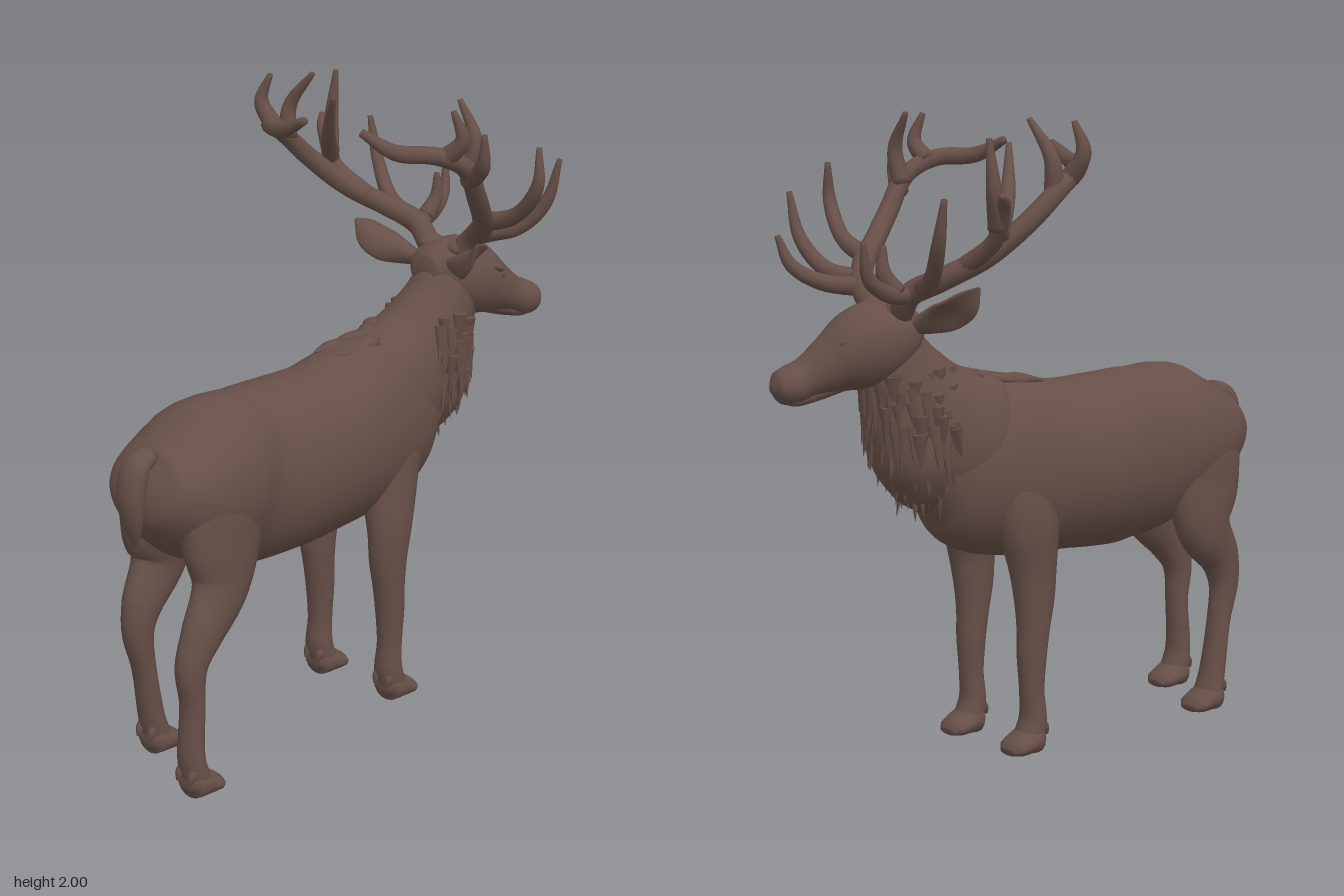
import * as THREE from 'three';

const hide = new THREE.MeshStandardMaterial({ color: 0x664f47 });
hide.name = 'brown hide';

// Smooth solid through elliptical sections [x, y, z, radiusInPlane, radiusAcross]
function loftGeometry(pts, steps = 6, sides = 24, cup = 0) {
  const path = new THREE.CatmullRomCurve3(pts.map(p => new THREE.Vector3(p[0], p[1], p[2])));
  const size = new THREE.CatmullRomCurve3(pts.map(p => new THREE.Vector3(p[3], p[4] ?? p[3], 0)), false, 'catmullrom', 0.5);
  const n = (pts.length - 1) * steps, pos = [], idx = [];
  for (let i = 0; i <= n; i++) {
    const c = path.getPoint(i / n), r = size.getPoint(i / n), T = path.getTangent(i / n);
    const S = new THREE.Vector3(0, 0, 1).addScaledVector(T, -T.z).normalize();
    const U = new THREE.Vector3().crossVectors(S, T);
    for (let j = 0; j < sides; j++) {
      const a = j / sides * Math.PI * 2, u = Math.cos(a), s = Math.sin(a);
      const p = c.clone().addScaledVector(U, u * Math.max(r.x, 0.002))
        .addScaledVector(S, s * Math.max(r.y, 0.002) + cup * r.x * u * u);
      pos.push(p.x, p.y, p.z);
    }
  }
  for (let i = 0; i < n; i++) for (let j = 0; j < sides; j++) {
    const a = i * sides + j, d = i * sides + (j + 1) % sides, b = a + sides, c = d + sides;
    idx.push(a, d, b, b, d, c);
  }
  const first = pos.length / 3, e = path.getPoint(1);
  pos.push(pts[0][0], pts[0][1], pts[0][2], e.x, e.y, e.z);
  for (let j = 0; j < sides; j++) {
    const k = (j + 1) % sides;
    idx.push(first, k, j, first + 1, n * sides + j, n * sides + k);
  }
  const g = new THREE.BufferGeometry();
  g.setAttribute('position', new THREE.Float32BufferAttribute(pos, 3));
  g.setIndex(idx);
  g.computeVertexNormals();
  return g;
}

function add(parent, name, geometry) {
  const m = new THREE.Mesh(geometry, hide);
  m.name = name;
  parent.add(m);
  return m;
}

// Tapered round branch
function branch(parent, name, pts, r0, r1) {
  const n = pts.length - 1;
  add(parent, name, loftGeometry(pts.map((p, i) => [...p, i === n ? r1 : r0 + (r1 * 1.8 - r0) * i / n]), 7, 10));
}

// Hoof with two dewclaws, heel at x
function hoof(parent, x, z) {
  add(parent, 'hoof', loftGeometry([
    [x - 0.012, 0.05, z, 0.02, 0.03], [x + 0.012, 0.051, z, 0.051, 0.056], [x + 0.06, 0.04, z, 0.04, 0.062],
    [x + 0.1, 0.027, z, 0.027, 0.058], [x + 0.122, 0.018, z, 0.012, 0.035]], 5, 16));
  for (const s of [-1, 1]) add(parent, 'dewclaw', loftGeometry([
    [x + 0.018, 0.12, z + s * 0.02, 0.014], [x - 0.008, 0.085, z + s * 0.025, 0.016],
    [x - 0.02, 0.06, z + s * 0.025, 0.005]], 4, 8));
}

export function createModel() {
  const stag = new THREE.Group();
  stag.name = 'stag';

  // Trunk, neck and head
  add(stag, 'body', loftGeometry([
    [-0.835, 0.98, 0, 0.04, 0.05], [-0.81, 0.97, 0, 0.11, 0.14], [-0.75, 0.95, 0, 0.165, 0.185],
    [-0.66, 0.93, 0, 0.225, 0.217], [-0.54, 0.918, 0, 0.258, 0.228], [-0.42, 0.892, 0, 0.28, 0.208],
    [-0.25, 0.882, 0, 0.28, 0.233], [-0.05, 0.885, 0, 0.275, 0.232], [0.12, 0.905, 0, 0.287, 0.218],
    [0.25, 0.925, 0, 0.275, 0.195], [0.36, 0.955, 0, 0.22, 0.16], [0.44, 0.965, 0, 0.15, 0.12],
    [0.5, 0.965, 0, 0.05, 0.05]], 6, 36));
  add(stag, 'neck', loftGeometry([
    [0.12, 0.95, 0, 0.2, 0.16], [0.29, 1.0, 0, 0.23, 0.175], [0.42, 1.1, 0.01, 0.19, 0.15],
    [0.5, 1.22, 0.03, 0.14, 0.125], [0.55, 1.33, 0.04, 0.1, 0.1]], 8, 32));
  add(stag, 'head', loftGeometry([
    [0.45, 1.365, 0.02, 0.04, 0.05], [0.5, 1.36, 0.022, 0.088, 0.1], [0.57, 1.335, 0.035, 0.126, 0.124],
    [0.65, 1.3, 0.06, 0.122, 0.118], [0.72, 1.265, 0.086, 0.09, 0.09], [0.79, 1.23, 0.11, 0.064, 0.068],
    [0.84, 1.21, 0.125, 0.06, 0.069], [0.88, 1.203, 0.135, 0.047, 0.055], [0.9, 1.2, 0.14, 0.012, 0.015]], 6, 28));
  add(stag, 'chin', loftGeometry([
    [0.68, 1.215, 0.078, 0.03, 0.045], [0.78, 1.18, 0.108, 0.025, 0.044],
    [0.84, 1.165, 0.122, 0.019, 0.038], [0.865, 1.166, 0.13, 0.006, 0.01]], 5, 14));
  for (const [x, z] of [[0.685, 0.158], [0.725, 0.002]]) {
    const eye = add(stag, 'eye', new THREE.SphereGeometry(0.016, 14, 10));
    eye.position.set(x, 1.328, z);
    const brow = add(stag, 'brow', new THREE.SphereGeometry(0.03, 14, 10));
    brow.scale.set(1.3, 0.45, 0.7);
    brow.position.set(x - 0.015, 1.35, z * 0.94 + 0.004);
    brow.rotation.z = -0.45;
  }

  // Cupped ears
  for (const [s, z] of [[1, 0.09], [-1, -0.05]]) {
    add(stag, 'ear', loftGeometry([
      [0.51, 1.38, z, 0.022, 0.03], [0.485, 1.4, z + s * 0.05, 0.042, 0.028], [0.46, 1.425, z + s * 0.1, 0.06, 0.02],
      [0.435, 1.46, z + s * 0.15, 0.052, 0.014], [0.405, 1.5, z + s * 0.182, 0.006, 0.004]], 6, 16, s * 0.35));
  }

  // Tail
  add(stag, 'tail', loftGeometry([
    [-0.78, 1.06, 0, 0.03, 0.035], [-0.84, 1.035, 0, 0.035, 0.048], [-0.865, 0.95, 0, 0.036, 0.05],
    [-0.86, 0.86, 0, 0.026, 0.036], [-0.85, 0.79, 0, 0.005, 0.008]], 6, 16));

  // Legs; the right hind leg stands a little further forward
  for (const s of [1, -1]) {
    const f = s < 0 ? 1 : 0, z = f ? -0.138 : 0.165;
    add(stag, 'frontLeg', loftGeometry([
      [0.18, 1.04, s * 0.09, 0.05, 0.03], [0.165, 0.9, s * 0.12, 0.13, 0.075], [0.14, 0.74, s * 0.142, 0.112, 0.075],
      [0.118, 0.6, z, 0.085, 0.062], [0.112, 0.5, z, 0.07, 0.056], [0.116, 0.4, z, 0.054, 0.051], [0.122, 0.32, z, 0.048, 0.048],
      [0.122, 0.2, z, 0.039, 0.042], [0.118, 0.11, z, 0.041, 0.05], [0.135, 0.05, z, 0.045, 0.055]], 6, 20));
    hoof(stag, 0.1, z);
    add(stag, 'hindLeg', loftGeometry([
      [-0.6, 1.08, s * 0.09, 0.06, 0.03], [-0.61, 0.92, s * 0.12, 0.15, 0.09], [-0.625 + f * 0.01, 0.78, s * 0.135, 0.15, 0.086],
      [-0.65 + f * 0.04, 0.64, s * 0.15, 0.107, 0.07], [-0.745 + f * 0.05, 0.52, z, 0.075, 0.056],
      [-0.793 + f * 0.075, 0.43, z, 0.054, 0.047], [-0.792 + f * 0.095, 0.3, z, 0.037, 0.042],
      [-0.8 + f * 0.13, 0.13, z, 0.038, 0.048], [-0.78 + f * 0.13, 0.05, z, 0.043, 0.055]], 6, 20));
    hoof(stag, -0.815 + f * 0.13, z);
  }
  add(stag, 'bellyRidge', loftGeometry([
    [-0.46, 0.66, 0, 0.02, 0.03], [-0.38, 0.625, 0, 0.025, 0.05], [-0.2, 0.622, 0, 0.025, 0.05], [0, 0.64, 0, 0.02, 0.03]], 6, 12));

  // Mane core with hanging tufts
  let seed = 7;
  const rnd = () => (seed = (seed * 16807) % 2147483647) / 2147483647;
  const mane = new THREE.Group();
  mane.name = 'mane';
  stag.add(mane);
  add(mane, 'maneCore', loftGeometry([
    [0.53, 1.2, 0.03, 0.1, 0.11], [0.49, 1.08, 0.02, 0.13, 0.14], [0.46, 0.95, 0.005, 0.13, 0.145],
    [0.44, 0.86, 0, 0.09, 0.1], [0.42, 0.8, 0, 0.03, 0.03]], 6, 20));
  const tuftShape = new THREE.ConeGeometry(0.025, 0.14, 6).rotateX(Math.PI);
  const down = new THREE.Vector3(0, -1, 0);
  for (let row = 0; row < 8; row++) for (let k = 0; k < 15; k++) {
    const v = row / 7, a = ((k + (row % 2) * 0.5) / 14.5 - 0.5) * 4 + (rnd() - 0.5) * 0.15;
    const shrink = v > 0.6 ? 1 - (v - 0.6) * 0.9 : 1;
    const t = add(mane, 'tuft', tuftShape);
    t.position.set(0.46 - v * 0.05 + Math.cos(a) * 0.165 * shrink, 1.16 - v * 0.29 + (rnd() - 0.5) * 0.04,
      0.03 * (1 - v) + Math.sin(a) * (0.122 + 0.035 * Math.sin(v * Math.PI)) * shrink);
    t.quaternion.setFromUnitVectors(down, new THREE.Vector3(Math.cos(a) * 0.2 - 0.12 + (rnd() - 0.5) * 0.2, -1,
      Math.sin(a) * 0.12 + (rnd() - 0.5) * 0.3).normalize());
    t.scale.set(0.8 + rnd() * 0.4, 0.7 + rnd() * 0.5, 0.8 + rnd() * 0.4);
  }
  // Ragged fur along the withers
  for (let k = 0; k < 14; k++) {
    const v = k / 13;
    add(mane, 'withersTuft', loftGeometry([
      [0.36 - v * 0.25, 1.23 - v * 0.06, (rnd() - 0.5) * 0.12, 0.018, 0.03],
      [0.3 - v * 0.25, 1.195 - v * 0.02, (rnd() - 0.5) * 0.14, 0.014, 0.026],
      [0.22 - v * 0.22, 1.18 - v * 0.012, (rnd() - 0.5) * 0.14, 0.003, 0.004]], 4, 8));
  }

  // Antlers: main beam first, then the tines
  const antlers = {
    leftAntler: [
      [[0.55, 1.41, 0.09], [0.55, 1.48, 0.15], [0.49, 1.54, 0.23], [0.41, 1.59, 0.29], [0.3, 1.69, 0.35], [0.21, 1.8, 0.375],
        [0.11, 1.85, 0.345], [0.03, 1.86, 0.25], [0, 1.91, 0.14]],
      [[0.54, 1.48, 0.15], [0.66, 1.5, 0.22], [0.73, 1.55, 0.27], [0.76, 1.64, 0.3]],
      [[0.53, 1.5, 0.18], [0.585, 1.53, 0.3], [0.62, 1.62, 0.38], [0.63, 1.76, 0.42]],
      [[0.46, 1.56, 0.25], [0.45, 1.61, 0.39], [0.43, 1.72, 0.485], [0.44, 1.84, 0.48]],
      [[0.25, 1.75, 0.36], [0.2, 1.82, 0.45], [0.18, 1.92, 0.47]],
      [[0.24, 1.77, 0.36], [0.25, 1.88, 0.38], [0.26, 1.995, 0.31]],
      [[0.14, 1.84, 0.355], [0.15, 1.9, 0.41], [0.13, 1.99, 0.39]]],
    rightAntler: [
      [[0.55, 1.41, -0.03], [0.56, 1.48, -0.1], [0.52, 1.53, -0.2], [0.43, 1.6, -0.3], [0.33, 1.7, -0.37], [0.22, 1.8, -0.39],
        [0.1, 1.85, -0.33], [0.03, 1.86, -0.21], [0.01, 1.91, -0.1]],
      [[0.56, 1.48, -0.1], [0.66, 1.49, -0.12], [0.74, 1.54, -0.135], [0.77, 1.65, -0.15]],
      [[0.62, 1.49, -0.11], [0.66, 1.55, -0.1], [0.66, 1.63, -0.1]],
      [[0.55, 1.5, -0.14], [0.605, 1.54, -0.26], [0.65, 1.65, -0.35], [0.66, 1.78, -0.39]],
      [[0.48, 1.56, -0.24], [0.46, 1.65, -0.37], [0.49, 1.76, -0.45], [0.54, 1.79, -0.5]],
      [[0.47, 1.69, -0.4], [0.51, 1.8, -0.43], [0.52, 1.95, -0.42]],
      [[0.46, 1.67, -0.39], [0.36, 1.78, -0.31], [0.28, 1.92, -0.22]],
      [[0.24, 1.78, -0.38], [0.25, 1.88, -0.38], [0.26, 1.995, -0.29]],
      [[0.18, 1.82, -0.38], [0.17, 1.9, -0.43], [0.18, 1.99, -0.4]]],
  };
  for (const [name, parts] of Object.entries(antlers)) {
    const antler = new THREE.Group();
    antler.name = name;
    stag.add(antler);
    parts.forEach((p, i) => i ? branch(antler, 'tine', p, 0.031, 0.009) : branch(antler, 'beam', p, 0.04, 0.013));
    const burr = add(antler, 'burr', new THREE.SphereGeometry(0.046, 14, 10));
    burr.scale.y = 0.6;
    burr.position.set(...parts[0][0]).y += 0.02;
  }
  return stag;
}
